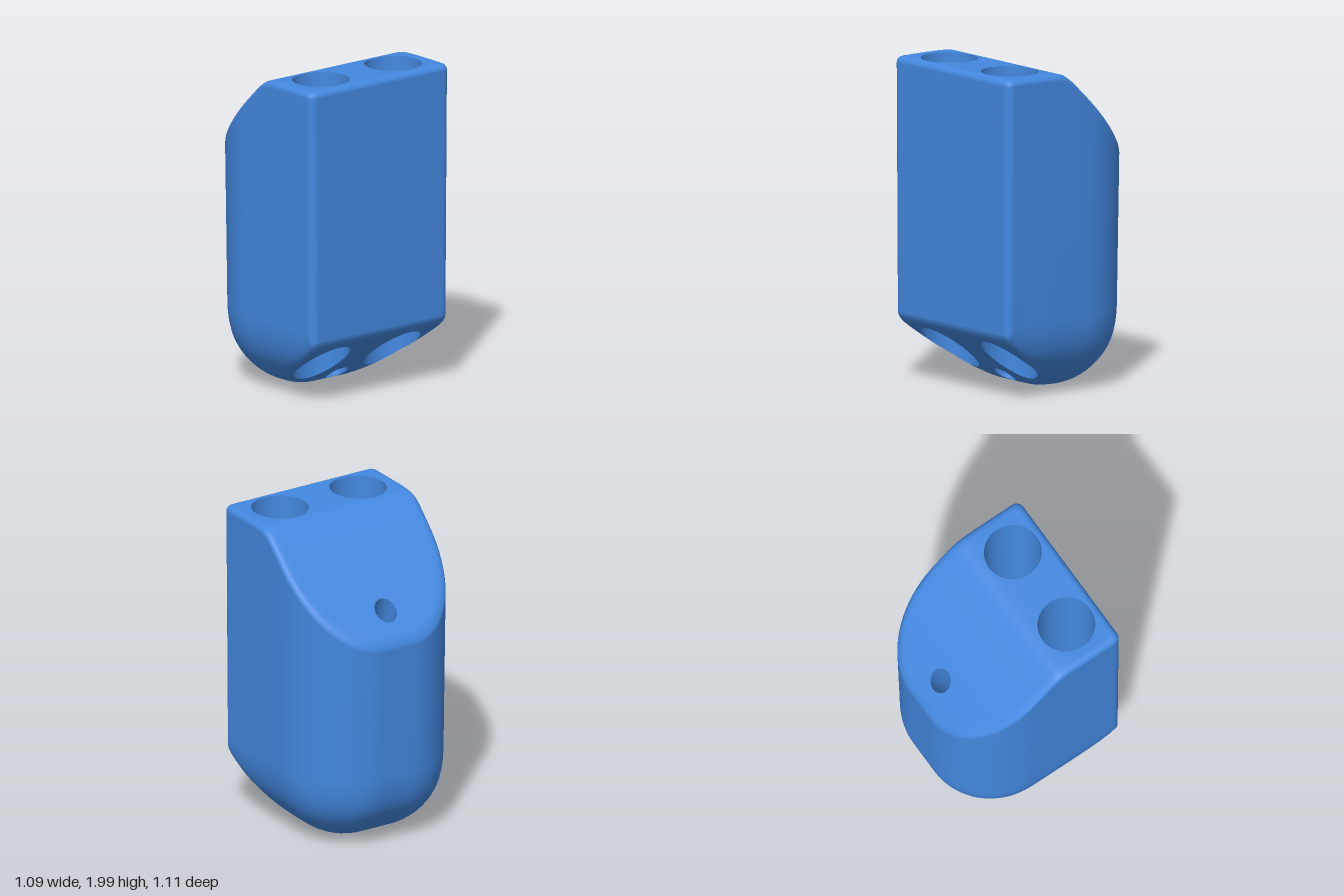
import * as THREE from 'three';
import { mergeVertices } from 'three/addons/utils/BufferGeometryUtils.js';

// Footprint: square front with small corner radii, broad rounded back
const HALF = 0.54, FRONT = 0.55, BACK = -0.555, CORNER = 0.05, FILLET = 0.04;
const CORE_X = 0.11, CORE_Z = -0.085;
const RX = HALF - CORE_X, RZ = CORE_Z - BACK;

// Holes: two straight wells and one slanted channel with shifted ends
const WELL = { x: 0.28, z: 0.325, rx: 0.172, rz: 0.175 };
const CHANNEL_TOP = { x: 0, z: -0.4, rx: 0.072, rz: 0.057 };
const CHANNEL_BOTTOM = { x: 0, z: 0.13, rx: 0.07, rz: 0.065 };

const circ = (t) => Math.sqrt(Math.max(0, 1 - t * t));
const smax = (a, b, k) => (a + b + Math.hypot(a - b, k)) / 2;
const smin = (a, b, k) => -smax(-a, -b, k);

function halfWidth(z) {
  if (z < CORE_Z) return CORE_X + RX * circ((CORE_Z - z) / RZ);
  const q = Math.max(0, z - (FRONT - CORNER)) / CORNER;
  return HALF - CORNER + CORNER * circ(q);
}

// 0 over the core, 1 on the rounded outline
function bowlLevel(x, z) {
  return Math.min(1, Math.hypot(Math.max(0, Math.abs(x) - CORE_X) / RX, Math.max(0, CORE_Z - z) / RZ));
}

// Height lost to the small edge rounding
function edgeDrop(x, z) {
  const qx = Math.abs(x) - (HALF - CORNER), qz = z - (FRONT - CORNER);
  const out = Math.hypot(Math.max(qx, 0), Math.max(qz, 0)) + Math.min(Math.max(qx, qz), 0);
  const inset = Math.max(0, Math.min(CORNER - out, (1 - bowlLevel(x, z)) * RX));
  return FILLET * (1 - circ(Math.max(0, 1 - inset / FILLET)));
}

// Flat top with a sloping back; bowl-shaped base with a sloping front
const topHeight = (x, z) => smin(2, 1.91 + z, 0.05) - edgeDrop(x, z);
const baseHeight = (x, z) =>
  smax(0.44 * (1 - circ(bowlLevel(x, z))), 0.385 - 0.8 * (0.54 - z), 0.05) + edgeDrop(x, z);

// Slight draft: narrower towards the base
function point(x, z, height) {
  const y = height(x, z);
  return [x * (0.98 + 0.0143 * y), y, z < 0 ? z * (0.955 + 0.035 * y) : z];
}

// Cosine-spaced values from a to b
const spread = (a, b, n) =>
  Array.from({ length: n + 1 }, (_, i) => a + (b - a) * (1 - Math.cos((Math.PI * i) / n)) / 2);

const breaks = [
  BACK,
  CHANNEL_TOP.z - CHANNEL_TOP.rz, CHANNEL_TOP.z + CHANNEL_TOP.rz,
  CHANNEL_BOTTOM.z - CHANNEL_BOTTOM.rz, WELL.z - WELL.rz,
  CHANNEL_BOTTOM.z + CHANNEL_BOTTOM.rz, WELL.z + WELL.rz,
  FRONT,
];
const rows = breaks.slice(1).flatMap((b, i) => spread(breaks[i], b, 14).slice(i ? 1 : 0));

// Solid spans of one row, left to right, leaving the holes open
function spans(z, channel) {
  const w = halfWidth(z);
  const cx = WELL.x * Math.min(1, w / 0.48);
  const h = WELL.rx * circ((z - WELL.z) / WELL.rz);
  const c = channel.rx * circ((z - channel.z) / channel.rz);
  return [[-w, -cx - h], [-cx + h, -c], [c, cx - h], [cx + h, w]].map(([a, b]) => spread(a, b, 12));
}

function quad(out, a, b, c, d, flip) {
  if (flip) out.push(...a, ...c, ...b, ...a, ...d, ...c);
  else out.push(...a, ...b, ...c, ...a, ...c, ...d);
}

// Upper or lower skin
function addSheet(out, height, channel, flip) {
  const grid = rows.map((z) => spans(z, channel).map((s) => s.map((x) => point(x, z, height))));
  for (let i = 0; i < grid.length - 1; i++) {
    for (let s = 0; s < 4; s++) {
      const p = grid[i][s], q = grid[i + 1][s];
      for (let j = 0; j < p.length - 1; j++) quad(out, p[j], q[j], q[j + 1], p[j + 1], flip);
    }
  }
}

// Wall between matching lower and upper loops
function addWall(out, lower, upper, flip) {
  lower.forEach((p, k) => {
    const n = (k + 1) % lower.length;
    quad(out, p, lower[n], upper[n], upper[k], flip);
  });
}

function toMesh(name, positions, material) {
  const raw = new THREE.BufferGeometry();
  raw.setAttribute('position', new THREE.Float32BufferAttribute(positions, 3));
  const geometry = mergeVertices(raw, 1e-5);
  geometry.computeVertexNormals();
  const mesh = new THREE.Mesh(geometry, material);
  mesh.name = name;
  return mesh;
}

// Inner wall of a hole, facing its axis
function holeMesh(name, top, bottom, material) {
  const loop = (e, height) => Array.from({ length: 64 }, (_, i) => {
    const t = (i / 64) * Math.PI * 2;
    return point(e.x + e.rx * Math.cos(t), e.z - e.rz * Math.sin(t), height);
  });
  const out = [];
  addWall(out, loop(bottom, baseHeight), loop(top, topHeight), true);
  return toMesh(name, out, material);
}

export function createModel() {
  const model = new THREE.Group();
  model.name = 'holderBlock';
  const blue = new THREE.MeshStandardMaterial({ color: 0x4488e0 });
  blue.name = 'blue';

  // Outer body: two skins joined by the outline wall
  const body = [];
  addSheet(body, topHeight, CHANNEL_TOP, false);
  addSheet(body, baseHeight, CHANNEL_BOTTOM, true);
  const endRow = (z) => spans(z, CHANNEL_TOP).flatMap((s, i) => s.slice(i ? 1 : 0)).map((x) => [x, z]);
  const inner = rows.slice(1, -1);
  const outline = [
    ...endRow(FRONT),
    ...[...inner].reverse().map((z) => [halfWidth(z), z]),
    ...endRow(BACK).reverse(),
    ...inner.map((z) => [-halfWidth(z), z]),
  ];
  const loop = (height) => outline.map(([x, z]) => point(x, z, height));
  addWall(body, loop(baseHeight), loop(topHeight), false);
  model.add(toMesh('body', body, blue));

  // Holes
  for (const [name, side] of [['leftWell', 1], ['rightWell', -1]]) {
    const well = { ...WELL, x: side * WELL.x };
    model.add(holeMesh(name, well, well, blue));
  }
  model.add(holeMesh('slantedChannel', CHANNEL_TOP, CHANNEL_BOTTOM, blue));
  return model;
}
